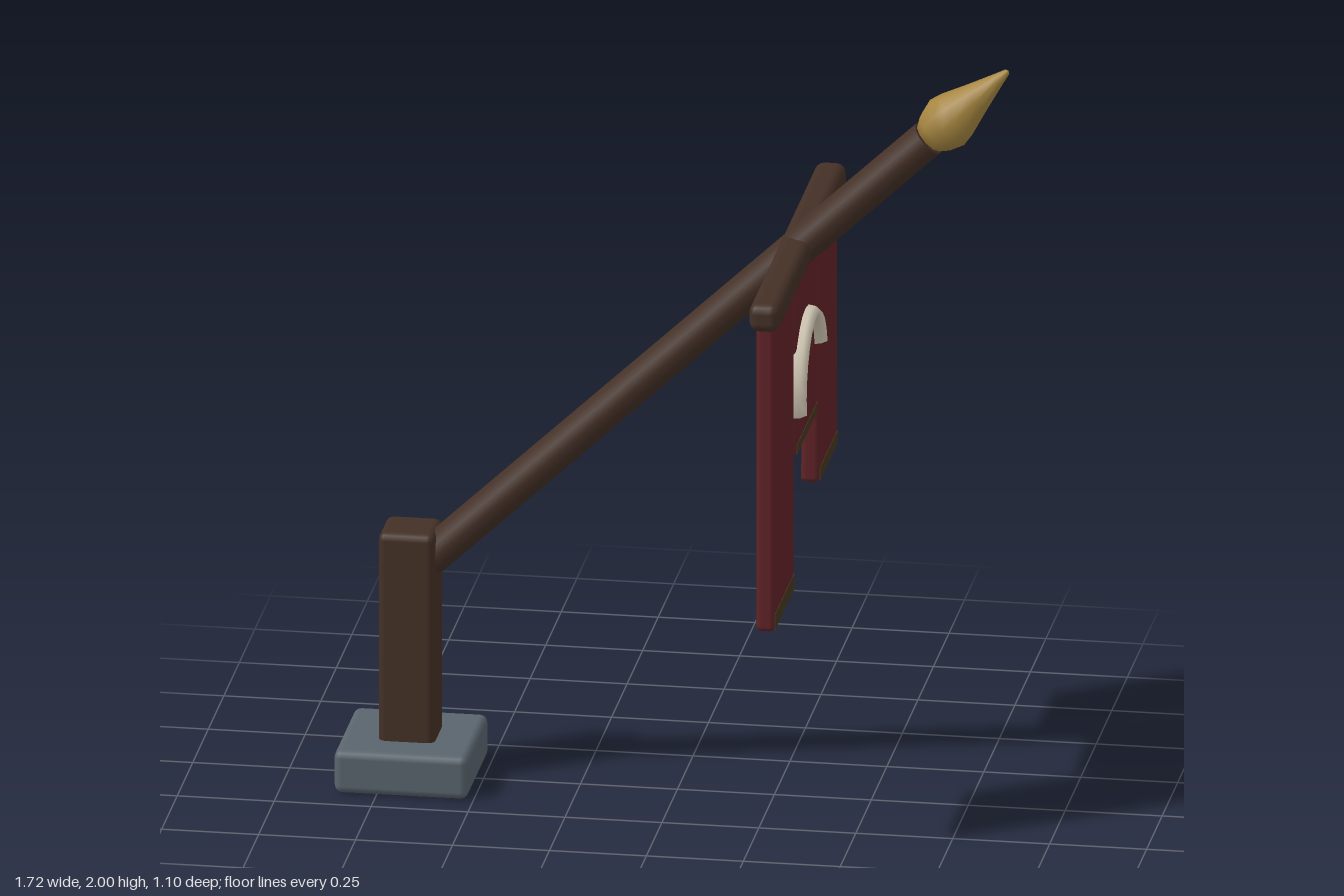
import * as THREE from 'three';
import { RoundedBoxGeometry } from 'three/addons/geometries/RoundedBoxGeometry.js';

const mat = (name, color, side = THREE.FrontSide) => {
  const m = new THREE.MeshStandardMaterial({ color, side });
  m.name = name;
  return m;
};

export function createModel() {
  const wood = mat('dark wood', 0x443026);
  const cloth = mat('red cloth', 0x612327);
  const trim = mat('brown trim', 0x46371f);
  const stone = mat('slate stone', 0x5a656e);
  const brass = mat('brass', 0xa68640);
  const ivory = mat('ivory', 0xd6ccb8, THREE.DoubleSide);

  const model = new THREE.Group();
  model.name = 'bannerPole';

  const add = (name, geometry, material, x, y, z, parent = model) => {
    const mesh = new THREE.Mesh(geometry, material);
    mesh.name = name;
    mesh.position.set(x, y, z);
    parent.add(mesh);
    return mesh;
  };
  const box = (w, h, d, r) => new RoundedBoxGeometry(w, h, d, 2, r);

  // Footing and upright post
  add('base', box(0.345, 0.115, 0.345, 0.02), stone, -0.687, 0.0575, 0);
  add('post', box(0.145, 0.6, 0.15, 0.02), wood, -0.688, 0.376, 0);

  // Slanted pole, built along its own y axis
  const low = new THREE.Vector2(-0.638, 0.593);
  const high = new THREE.Vector2(0.648, 1.804);
  const length = low.distanceTo(high);
  const slant = new THREE.Group();
  slant.name = 'slantedPole';
  slant.position.set(low.x, low.y, 0);
  slant.rotation.z = Math.atan2(high.y - low.y, high.x - low.x) - Math.PI / 2;
  model.add(slant);
  const shaft = new THREE.CylinderGeometry(0.058, 0.058, length, 12);
  shaft.scale(0.85, 1, 1);
  add('pole', shaft, wood, 0, length / 2, 0, slant);

  // Spear-shaped finial
  const profile = [[0, -0.005], [0.04, -0.005], [0.06, 0.025], [0.073, 0.065], [0.066, 0.1],
    [0.042, 0.17], [0.018, 0.245], [0.008, 0.278], [0, 0.283]];
  add('finial', new THREE.LatheGeometry(profile.map(p => new THREE.Vector2(...p)), 10),
    brass, 0, length, 0, slant);

  // Crossbar carrying the cloths
  const barX = 0.31;
  add('crossbar', box(0.08, 0.075, 1.1, 0.025), wood, barX, 1.488, 0);

  // Three hanging cloths: z range and bottom height
  const top = 1.475;
  const strips = [['leftBanner', 0.2, 0.524, 0.632], ['middleBanner', -0.172, 0.175, 0.98],
    ['rightBanner', -0.498, -0.2, 0.775]];
  for (const [name, z0, z1, bottom] of strips) {
    const h = top - bottom, w = z1 - z0, z = (z0 + z1) / 2;
    add(name, box(0.048, h, w, 0.014), cloth, barX, (top + bottom) / 2, z);
    // Hem plates on both faces
    const hem = h * 0.05;
    for (const s of [-1, 1]) {
      add(name + 'Hem', new THREE.BoxGeometry(0.004, hem, w - 0.02), trim,
        barX + s * 0.0235, bottom + 0.007 + hem / 2, z);
    }
  }

  // Curved horn piercing the middle cloth
  const arc = new THREE.TorusGeometry(0.171, 0.02, 8, 12, Math.PI);
  arc.rotateZ(THREE.MathUtils.degToRad(14));
  arc.scale(1, 1, 2.75);
  arc.rotateY(Math.PI / 2);
  const horn = new THREE.Group();
  horn.name = 'horn';
  horn.position.set(barX, 1.145, 0.026);
  model.add(horn);
  add('hornArc', arc, ivory, 0, 0, 0, horn);
  // End caps of the horn
  for (const deg of [14, 194]) {
    const cap = new THREE.CircleGeometry(0.02, 8);
    cap.scale(1, 2.75, 1);
    cap.rotateX(Math.PI / 2);
    cap.translate(0.171, 0, 0);
    cap.rotateZ(THREE.MathUtils.degToRad(deg));
    cap.rotateY(Math.PI / 2);
    add('hornEnd', cap, ivory, 0, 0, 0, horn);
  }
  return model;
}
